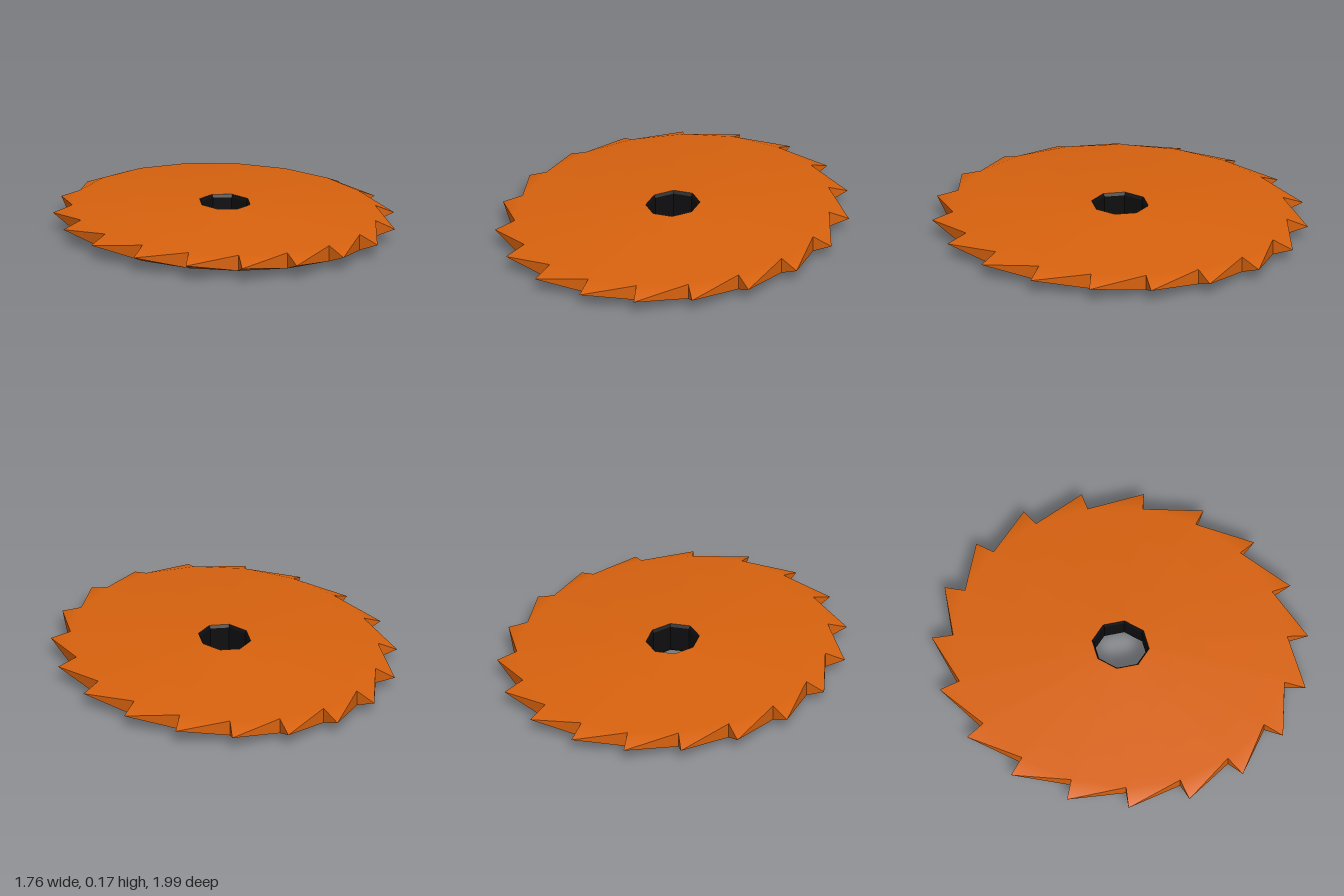
import * as THREE from 'three';

const TEETH = 19, HOLE_SIDES = 8, N = TEETH * HOLE_SIDES;
const CX = -0.007, CZ = -0.002, MID = 0.083;
const SQUASH = 0.884; // the disc is narrower in x than in z

// Point on the stretched circle of radius r at angle a and height y
const at = (r, a, y) => [CX + SQUASH * r * Math.cos(a), y, CZ + r * Math.sin(a)];

// N points spread along the edges of a regular polygon
function ring(sides, r, y) {
  const pts = [], per = N / sides, step = Math.PI * 2 / sides;
  for (let i = 0; i < N; i++) {
    const k = Math.floor(i / per), t = (i % per) / per;
    const p = at(r, k * step, y), q = at(r, (k + 1) * step, y);
    pts.push(p.map((v, n) => v + (q[n] - v) * t));
  }
  return pts;
}

const tip = k => at(1.0, k * Math.PI * 2 / TEETH - 0.01, MID);

// One face of the blade: flat hub, shallow cone and bevelled teeth
function faceGeometry(s) {
  const pts = [
    ...ring(HOLE_SIDES, 0.153, MID + s * 0.083),
    ...ring(HOLE_SIDES, 0.172, MID + s * 0.083),
    ...ring(TEETH, 0.888, MID + s * 0.043),
  ];
  for (let k = 1; k <= TEETH; k++) pts.push(tip(k));
  const index = [];
  const tri = (a, b, c) => (s > 0 ? index.push(a, b, c) : index.push(a, c, b));
  for (let j = 0; j < N; j++) {
    const n = (j + 1) % N;
    for (let r = 0; r < 2; r++) {
      const i = r * N, o = i + N;
      tri(i + j, o + n, o + j);
      tri(i + j, i + n, o + n);
    }
    tri(2 * N + j, 2 * N + n, 3 * N + Math.floor(j / HOLE_SIDES));
  }
  const g = new THREE.BufferGeometry();
  g.setAttribute('position', new THREE.Float32BufferAttribute(pts.flat(), 3));
  g.setIndex(index);
  g.computeVertexNormals();
  return g;
}

// Long back and short front flank of every tooth
function flankGeometry() {
  const pts = [], step = Math.PI * 2 / TEETH;
  const notch = (k, s) => at(0.888, k * step, MID + s * 0.043);
  for (let k = 0; k < TEETH; k++) {
    const t = tip(k + 1);
    pts.push(notch(k, 1), t, notch(k, -1));
    pts.push(notch(k + 1, 1), notch(k + 1, -1), t);
  }
  const g = new THREE.BufferGeometry();
  g.setAttribute('position', new THREE.Float32BufferAttribute(pts.flat(), 3));
  g.computeVertexNormals();
  return g;
}

// Eight-sided bore, slightly narrower at its waist, facing inward
function boreGeometry() {
  const profile = [[0.153, MID * 2], [0.143, MID * 2 - 0.015], [0.143, 0.015], [0.153, 0]]
    .map(p => new THREE.Vector2(...p));
  const g = new THREE.LatheGeometry(profile, HOLE_SIDES).toNonIndexed();
  g.scale(SQUASH, 1, 1);
  g.translate(CX, 0, CZ);
  g.computeVertexNormals();
  return g;
}

export function createModel() {
  const orange = new THREE.MeshStandardMaterial({ color: 0xd8620e });
  orange.name = 'orange';
  const black = new THREE.MeshStandardMaterial({ color: 0x0e0e10 });
  black.name = 'black';

  const model = new THREE.Group();
  model.name = 'sawBlade';
  const add = (name, geometry, material) => {
    const mesh = new THREE.Mesh(geometry, material);
    mesh.name = name;
    model.add(mesh);
  };
  add('topFace', faceGeometry(1), orange);
  add('bottomFace', faceGeometry(-1), orange);
  add('toothFlanks', flankGeometry(), orange);
  add('centreBore', boreGeometry(), black);
  return model;
}
